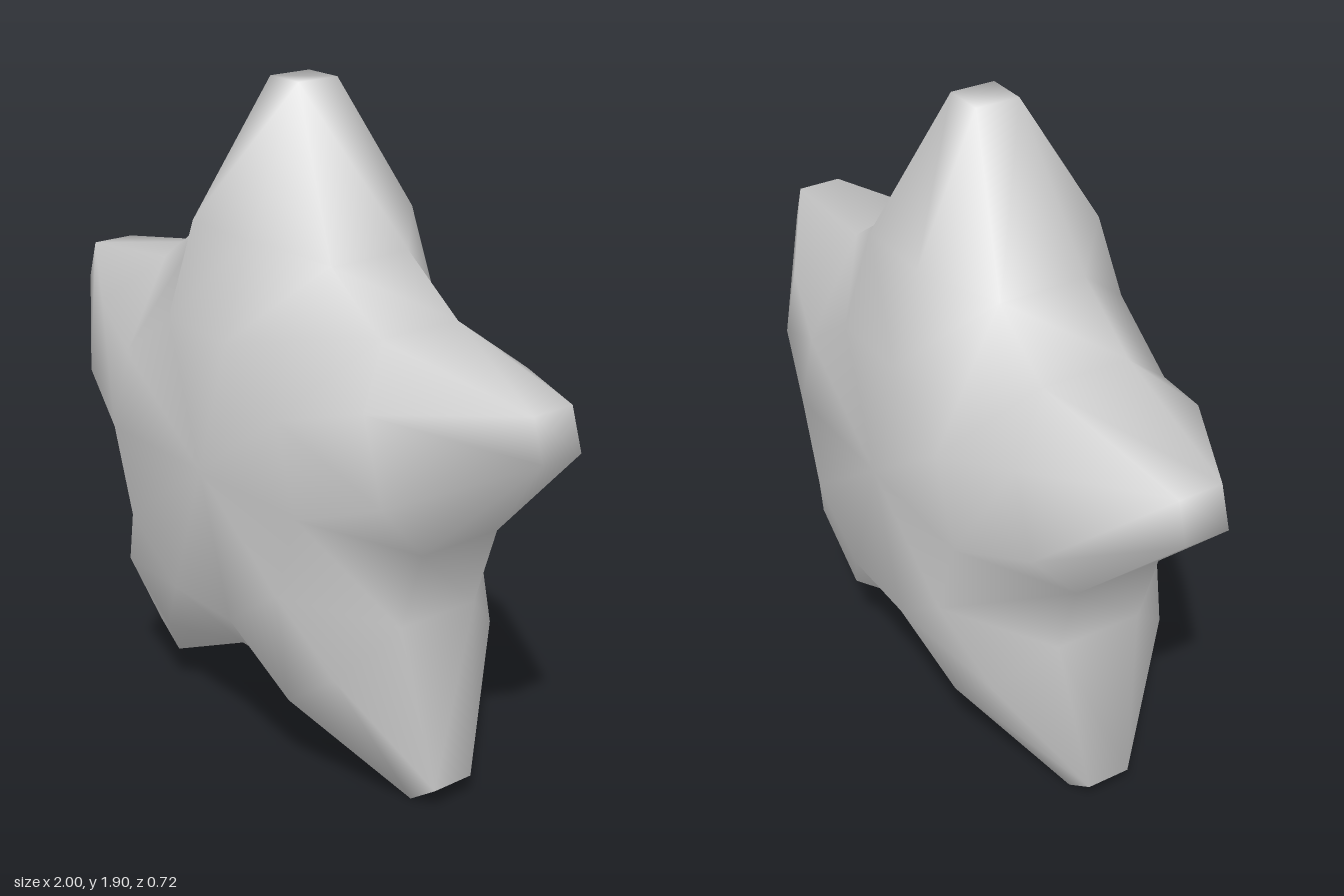
import * as THREE from 'three';

// Corner rings of one arm pointing up: [half width, distance from centre, half depth]
const RINGS = {
  base: [0.13, 0.4, 0.36],
  shoulder: [0.122, 0.66, 0.28],
  tip: [0.06, 1.03, 0.065],
  valley: [0.28, 0.597, 0.13],
};
const KINDS = Object.keys(RINGS);
const ARMS = 5;
const CENTRE_Y = 0.868;

function starGeometry() {
  const positions = [], index = [];

  // Four mirrored corners per ring, repeated round the centre
  for (let k = 0; k < ARMS; k++) {
    const c = Math.cos(k * Math.PI * 2 / ARMS), n = Math.sin(k * Math.PI * 2 / ARMS);
    for (const kind of KINDS) {
      const [w, r, d] = RINGS[kind];
      for (const s of [1, -1]) for (const f of [1, -1]) {
        positions.push(s * w * c + r * n, CENTRE_Y - s * w * n + r * c, f * d);
      }
    }
  }
  const id = (k, kind, s, f) =>
    (k % ARMS) * 16 + KINDS.indexOf(kind) * 4 + (s > 0 ? 0 : 2) + (f > 0 ? 0 : 1);
  const centre = { 1: positions.length / 3, [-1]: positions.length / 3 + 1 };
  positions.push(0, CENTRE_Y, 0.36, 0, CENTRE_Y, -0.36);

  const tri = (flip, a, b, c) => index.push(...(flip ? [a, c, b] : [a, b, c]));
  const quad = (flip, a, b, c, d) => { tri(flip, a, b, c); tri(flip, a, c, d); };

  for (let k = 0; k < ARMS; k++) {
    for (const f of [1, -1]) {
      const p = (kind, s, arm = k) => id(arm, kind, s, f);
      const back = f < 0;
      // flat middle
      tri(back, centre[f], p('base', 1), p('base', -1));
      tri(back, centre[f], p('base', -1, k + 1), p('base', 1));
      // broad face of the arm
      quad(back, p('base', -1), p('base', 1), p('shoulder', 1), p('shoulder', -1));
      quad(back, p('shoulder', -1), p('shoulder', 1), p('tip', 1), p('tip', -1));
      // slope into the valley between arms
      quad(back, p('base', 1), p('base', -1, k + 1), p('valley', -1, k + 1), p('valley', 1));
      // slanted flanks
      for (const s of [1, -1]) {
        const flip = s * f < 0;
        tri(flip, p('base', s), p('valley', s), p('shoulder', s));
        tri(flip, p('shoulder', s), p('valley', s), p('tip', s));
      }
    }
    // rim: arm sides, blunt tip and valley floor
    for (const s of [1, -1]) {
      quad(s < 0, id(k, 'tip', s, 1), id(k, 'valley', s, 1), id(k, 'valley', s, -1), id(k, 'tip', s, -1));
    }
    quad(false, id(k, 'tip', -1, 1), id(k, 'tip', 1, 1), id(k, 'tip', 1, -1), id(k, 'tip', -1, -1));
    quad(false, id(k, 'valley', 1, 1), id(k + 1, 'valley', -1, 1), id(k + 1, 'valley', -1, -1), id(k, 'valley', 1, -1));
  }

  const geometry = new THREE.BufferGeometry();
  geometry.setAttribute('position', new THREE.Float32BufferAttribute(positions, 3));
  geometry.setIndex(index);
  geometry.computeVertexNormals();
  return geometry;
}

export function createModel() {
  const group = new THREE.Group();
  group.name = 'star';
  const body = new THREE.Mesh(starGeometry(), new THREE.MeshStandardMaterial({ color: 0xcccccc }));
  body.name = 'starBody';
  group.add(body);
  return group;
}
